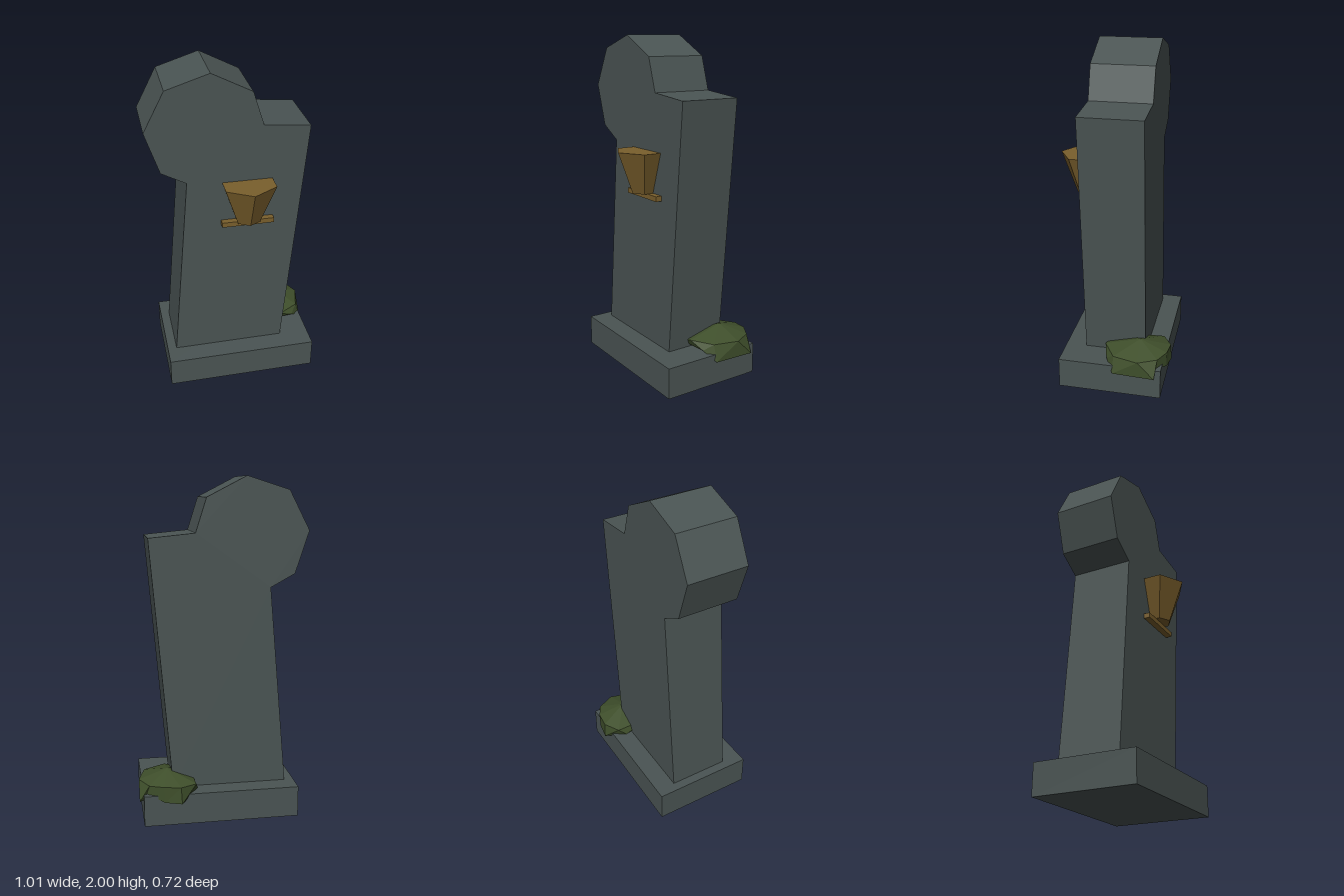
import * as THREE from 'three';

const material = (name, color) => {
  const m = new THREE.MeshStandardMaterial({ color, flatShading: true });
  m.name = name;
  return m;
};

// Closed faceted clump: apex, upper ring, lower ring, bottom centre
function clumpGeometry(apex, upper, lower, bottom) {
  const pos = [];
  const n = upper.length;
  for (let i = 0; i < n; i++) {
    const j = (i + 1) % n;
    const faces = [
      apex, upper[j], upper[i],
      upper[i], upper[j], lower[j],
      upper[i], lower[j], lower[i],
      bottom, lower[i], lower[j],
    ];
    faces.forEach((p) => pos.push(...p));
  }
  const g = new THREE.BufferGeometry();
  g.setAttribute('position', new THREE.Float32BufferAttribute(pos, 3));
  g.computeVertexNormals();
  return g;
}

export function createModel() {
  const group = new THREE.Group();
  group.name = 'gravestone';
  const stone = material('stone', 0x4a5453);
  const bronze = material('bronze', 0x7a5f2c);
  const moss = material('moss', 0x3f4f2b);

  const add = (name, geometry, mat, x = 0, y = 0, z = 0) => {
    const mesh = new THREE.Mesh(geometry, mat);
    mesh.name = name;
    mesh.position.set(x, y, z);
    group.add(mesh);
    return mesh;
  };

  // Plinth
  add('plinth', new THREE.BoxGeometry(0.92, 0.185, 0.615), stone, 0.018, 0.0925, -0.018);

  // Leaning slab with a broken rounded head
  const outline = [
    [-0.387, 0.18], [0.295, 0.18], [0.42, 1.66], [0.153, 1.686], [0.09, 1.882],
    [-0.14, 2], [-0.385, 1.923], [-0.505, 1.695], [-0.425, 1.45], [-0.283, 1.372],
  ].map(([x, y]) => new THREE.Vector2(x, y));
  const slab = new THREE.ExtrudeGeometry(new THREE.Shape(outline), { depth: 0.37, bevelEnabled: false });
  add('slab', slab, stone, 0, 0, -0.205);

  // Six-sided offering cup set into the face, with a ledge below
  add('cup', new THREE.CylinderGeometry(0.168, 0.075, 0.245, 6), bronze, 0.063, 1.232, 0.187);
  add('cupLedge', new THREE.BoxGeometry(0.306, 0.03, 0.04), bronze, 0.063, 1.095, 0.182);

  // Moss clump over the back corner of the plinth
  const upper = [
    [0.17, 0.235, -0.3], [0.265, 0.24, -0.355], [0.365, 0.245, -0.345], [0.445, 0.24, -0.3],
    [0.5, 0.24, -0.19], [0.46, 0.24, -0.04], [0.33, 0.24, 0.035], [0.18, 0.23, -0.03],
  ];
  const lower = [
    [0.155, 0.19, -0.25], [0.26, 0.14, -0.36], [0.36, 0.15, -0.345], [0.46, 0.19, -0.29],
    [0.502, 0.14, -0.29], [0.49, 0.14, -0.04], [0.42, 0.2, 0.01], [0.2, 0.2, 0.03],
  ];
  add('mossClump', clumpGeometry([0.33, 0.298, -0.18], upper, lower, [0.33, 0.16, -0.17]), moss);

  return group;
}
